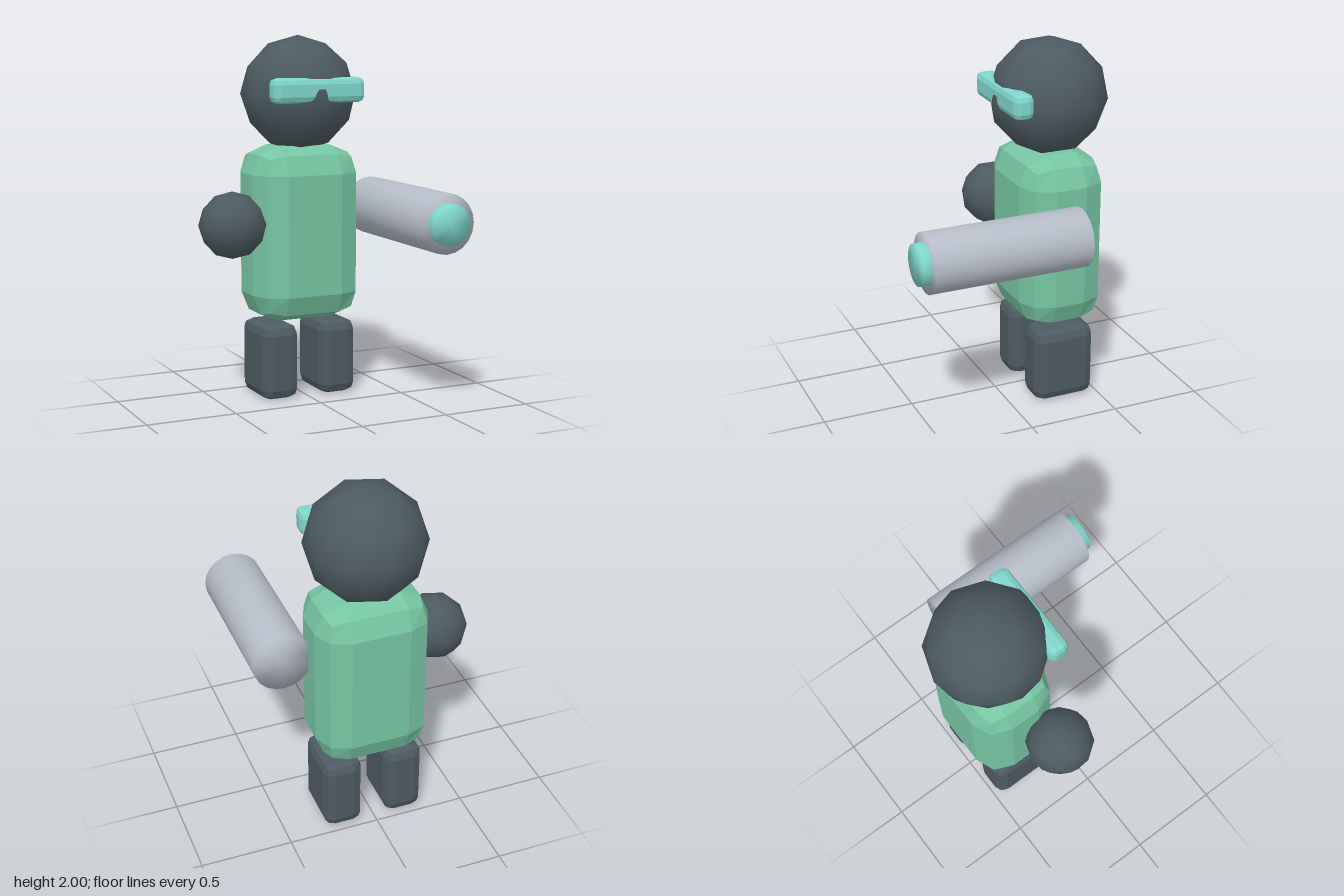
import * as THREE from 'three';
import { mergeVertices } from 'three/addons/utils/BufferGeometryUtils.js';
import { RoundedBoxGeometry } from 'three/addons/geometries/RoundedBoxGeometry.js';

function material(name, color, flatShading = false) {
  const m = new THREE.MeshStandardMaterial({ color, flatShading });
  m.name = name;
  return m;
}

// Low-poly ball with a corner pointing straight up and smooth normals
function ball(radius) {
  const golden = (1 + Math.sqrt(5)) / 2;
  return new THREE.IcosahedronGeometry(radius, 1).rotateZ(-Math.atan(1 / golden));
}

// Box with two-step bevelled edges
function bevelBox(w, h, d, bevel) {
  return new RoundedBoxGeometry(w, h, d, 1, bevel);
}

// Cylinder along z, with shading that runs softly over the rims
function softTube(radius, length, sides) {
  const g = new THREE.CylinderGeometry(radius, radius, length, sides).rotateX(Math.PI / 2);
  g.deleteAttribute('normal');
  g.deleteAttribute('uv');
  const merged = mergeVertices(g, 1e-4);
  merged.computeVertexNormals();
  return merged;
}

export function createModel() {
  const model = new THREE.Group();
  model.name = 'figure';

  const slate = material('slate', 0x4d5b62);
  const slateFlat = slate.clone(); // same colour, faceted
  slateFlat.name = 'slate faceted';
  slateFlat.flatShading = true;
  const green = material('green', 0x76c5a2, true);
  const aqua = material('aqua', 0x7fd6cc);
  const aquaFlat = aqua.clone();
  aquaFlat.name = 'aqua faceted';
  aquaFlat.flatShading = true;
  const grey = material('grey', 0xb6bdc8);

  const add = (name, geometry, mat, x, y, z) => {
    const mesh = new THREE.Mesh(geometry, mat);
    mesh.name = name;
    mesh.position.set(x, y, z);
    model.add(mesh);
  };

  // Body
  add('torso', bevelBox(0.618, 0.964, 0.47, 0.15), green, 0.003, 0.916, -0.304);
  add('rightLeg', bevelBox(0.216, 0.418, 0.345, 0.055), slateFlat, -0.169, 0.211, -0.304);
  add('leftLeg', bevelBox(0.216, 0.418, 0.345, 0.055), slateFlat, 0.178, 0.211, -0.304);

  // Head, whose front corner pokes through the visor as a nose
  add('head', ball(0.319), slate, 0.004, 1.681, -0.304);
  add('visor', bevelBox(0.536, 0.134, 0.112, 0.034), aquaFlat, 0.003, 1.709, -0.053);

  // Floating right hand
  add('rightHand', ball(0.183), slate, -0.44, 0.99, -0.182);

  // Left arm cannon
  add('armCannon', softTube(0.16, 0.865, 20), grey, 0.447, 1.04, 0.142);
  add('cannonTip', softTube(0.11, 0.15, 32), aqua, 0.448, 1.04, 0.547);

  return model;
}
